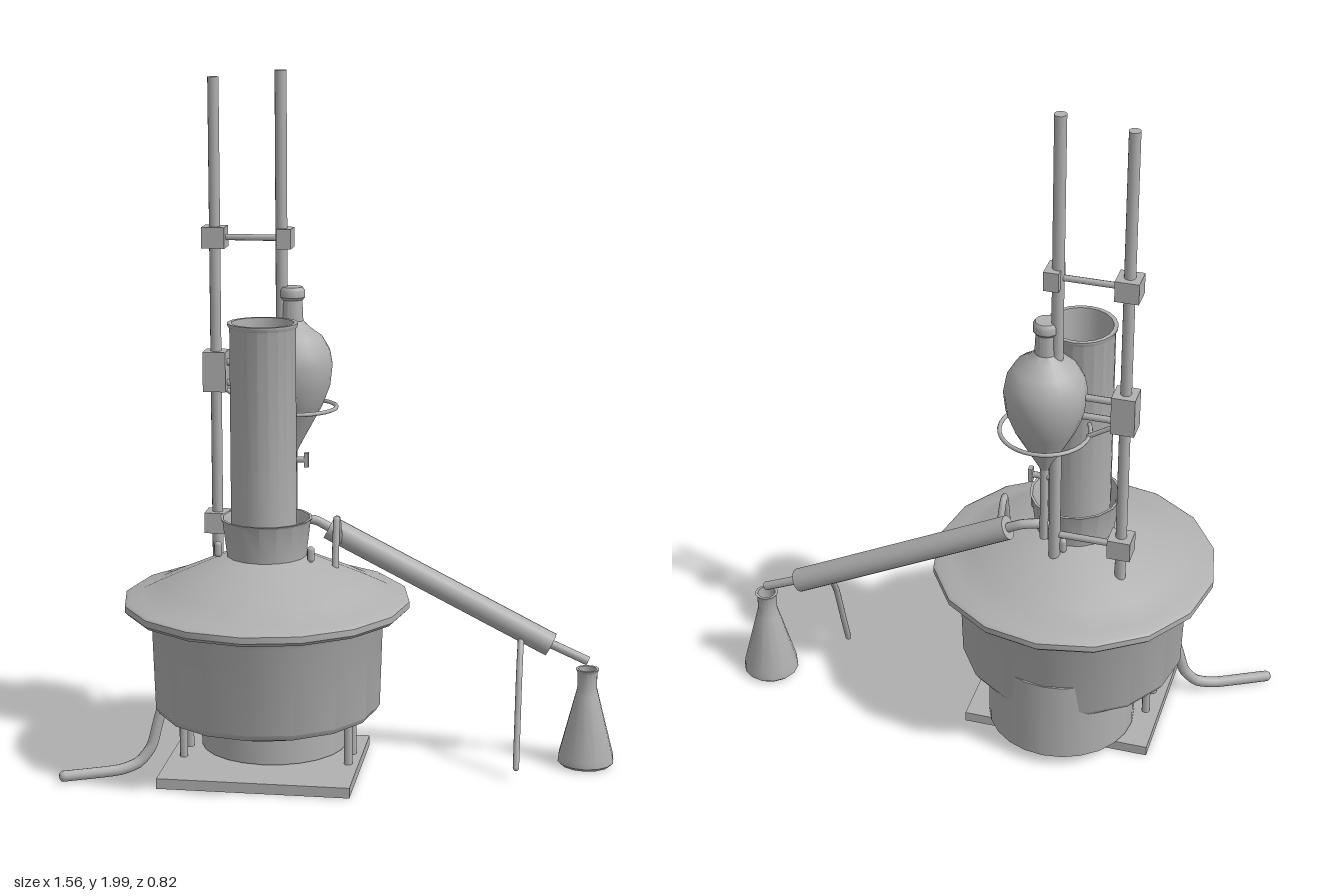
import * as THREE from 'three';
import { toCreasedNormals } from 'three/addons/utils/BufferGeometryUtils.js';

const V = (p) => new THREE.Vector3(...p);

export function createModel() {
  const model = new THREE.Group();
  const grey = new THREE.MeshStandardMaterial({ color: 0xb0b0b0, side: THREE.DoubleSide });
  grey.name = 'grey';

  const add = (name, geometry, x = 0, y = 0, z = 0) => {
    const mesh = new THREE.Mesh(geometry, grey);
    mesh.name = name;
    mesh.position.set(x, y, z);
    model.add(mesh);
    return mesh;
  };
  // Turned part from [radius, height] pairs
  const turned = (name, profile, x, z, sides = 16) =>
    add(name, toCreasedNormals(new THREE.LatheGeometry(
      profile.map(([r, y]) => new THREE.Vector2(r, y)), sides), 0.6), x, 0, z);
  // Straight round bar between two points
  const bar = (name, a, b, r, sides = 12) => {
    const from = V(a), to = V(b), dir = to.clone().sub(from);
    const mesh = add(name, new THREE.CylinderGeometry(r, r, dir.length(), sides));
    mesh.position.copy(from).add(to).multiplyScalar(0.5);
    mesh.quaternion.setFromUnitVectors(new THREE.Vector3(0, 1, 0), dir.normalize());
    return mesh;
  };
  // Bent pipe through a few points, with closed ends
  const pipe = (name, points, r) => {
    const path = new THREE.CatmullRomCurve3(points.map(V), false, 'catmullrom', 0.3);
    add(name, new THREE.TubeGeometry(path, 24, r, 10));
    for (const p of [points[0], points[points.length - 1]])
      add(name + 'End', new THREE.SphereGeometry(r, 8, 6), ...p);
  };
  const box = (name, w, h, d, x, y, z) => add(name, new THREE.BoxGeometry(w, h, d), x, y, z);

  const cx = -0.22;   // axis of the kettle
  const sz = -0.14;   // plane of the stand and condenser

  // Base plate, burner drum and posts
  box('basePlate', 0.55, 0.03, 0.445, -0.225, 0.025, 0.0125);
  add('burnerDrum', new THREE.CylinderGeometry(0.214, 0.214, 0.255, 24), cx, 0.1725, -0.118);
  for (const x of [-0.46, 0.02])
    for (const z of [0.04, -0.05]) bar('supportPost', [x, 0.03, z], [x, 0.21, z], 0.012, 8);

  // Kettle bowl and conical lid
  turned('kettleBowl', [[0, 0.14], [0.14, 0.145], [0.21, 0.155], [0.255, 0.175], [0.315, 0.193],
    [0.326, 0.21], [0.334, 0.46], [0.345, 0.48]], cx, 0);
  turned('kettleLid', [[0.33, 0.465], [0.345, 0.482], [0.365, 0.489], [0.4, 0.49], [0.41, 0.5],
    [0.41, 0.518], [0.4, 0.525], [0.36, 0.53], [0.3, 0.56], [0.116, 0.643], [0, 0.645]], cx, 0);

  // Collar with small knobs
  turned('collar', [[0.113, 0.63], [0.115, 0.65], [0.127, 0.745], [0.132, 0.752],
    [0.124, 0.752], [0.116, 0.73], [0.105, 0.66], [0, 0.655]], cx, 0);
  for (const [x, z] of [[-0.355, 0.03], [-0.085, 0.05], [-0.22, -0.135]])
    add('collarKnob', new THREE.CapsuleGeometry(0.011, 0.025, 3, 8), x, 0.66, z);

  // Open column
  turned('column', [[0.094, 0.65], [0.094, 1.295], [0.1, 1.305], [0.1, 1.31], [0.088, 1.31],
    [0.086, 1.29], [0.086, 0.7], [0.035, 0.69], [0, 0.69]], -0.227, 0, 20);

  // Drain hose at the lower side
  pipe('drainHose', [[-0.77, 0.028, 0.22], [-0.63, 0.028, 0.15], [-0.575, 0.045, 0.122],
    [-0.54, 0.09, 0.105], [-0.52, 0.17, 0.095], [-0.5, 0.24, 0.085]], 0.016);

  // Two stand rods with clamps
  bar('outerRod', [-0.388, 0.58, sz], [-0.388, 1.98, sz], 0.016);
  bar('innerRod', [-0.196, 0.6, sz], [-0.196, 2, sz], 0.017);
  box('upperClamp', 0.066, 0.06, 0.066, -0.388, 1.53, sz);
  box('upperInnerClamp', 0.042, 0.056, 0.068, -0.185, 1.53, sz);
  bar('upperArm', [-0.388, 1.53, sz], [-0.19, 1.53, sz], 0.009, 8);
  box('middleClamp', 0.066, 0.115, 0.066, -0.388, 1.145, sz);
  for (const y of [1.11, 1.17])
    bar('middleArm', [-0.388, y, sz], [-0.27, y, sz], 0.01, 8);
  box('lowerClamp', 0.066, 0.06, 0.066, -0.388, 0.7, sz);
  bar('lowerArm', [-0.388, 0.7, sz], [-0.19, 0.7, sz], 0.01, 8);

  // Dropping funnel with stopper, stem, tap and support ring
  const fx = -0.165;
  turned('funnelBulb', [[0.012, 0.915], [0.022, 0.935], [0.085, 1.05], [0.108, 1.11], [0.115, 1.17],
    [0.108, 1.21], [0.085, 1.25], [0.05, 1.275], [0.031, 1.295], [0.028, 1.36]], fx, sz, 20);
  turned('funnelStopper', [[0, 1.355], [0.03, 1.355], [0.036, 1.363], [0.036, 1.383],
    [0.03, 1.392], [0, 1.392]], fx, sz, 12);
  bar('funnelStem', [fx, 0.68, sz], [fx, 0.93, sz], 0.012, 10);
  bar('tapSpindle', [fx - 0.015, 0.89, sz], [-0.125, 0.89, sz], 0.009, 8);
  box('tapHandle', 0.012, 0.042, 0.02, -0.126, 0.89, sz);
  const ring = add('supportRing', new THREE.TorusGeometry(0.125, 0.006, 8, 32), fx, 1.045, sz);
  ring.rotation.x = Math.PI / 2;
  bar('ringArm', [-0.285, 1.045, sz], [-0.375, 1.1, sz], 0.007, 8);

  // Sloping condenser with inner tube
  pipe('condenserInlet', [[-0.19, 0.69, -0.08], [-0.15, 0.715, -0.125], [-0.1, 0.712, sz],
    [-0.05, 0.687, sz]], 0.014);
  bar('condenserJacket', [-0.06, 0.692, sz], [0.585, 0.366, sz], 0.035, 16);
  bar('condenserTube', [0.55, 0.384, sz], [0.693, 0.321, sz], 0.013, 10);

  // Cooling water hoses
  pipe('upperHose', [[-0.027, 0.605, -0.028], [-0.027, 0.68, -0.043], [-0.027, 0.738, -0.06],
    [-0.027, 0.725, -0.08], [-0.027, 0.66, -0.115]], 0.01);
  pipe('lowerHose', [[0.5, 0.395, -0.13], [0.5, 0.355, -0.095], [0.5, 0.28, -0.055],
    [0.5, 0.14, -0.01], [0.5, 0.045, 0.022]], 0.009);

  // Receiving flask
  turned('receivingFlask', [[0, 0.012], [0.074, 0.012], [0.082, 0.02], [0.08, 0.04], [0.034, 0.22],
    [0.029, 0.24], [0.029, 0.288], [0.034, 0.298], [0.026, 0.298], [0.024, 0.24]], 0.692, sz, 14);

  return model;
}
